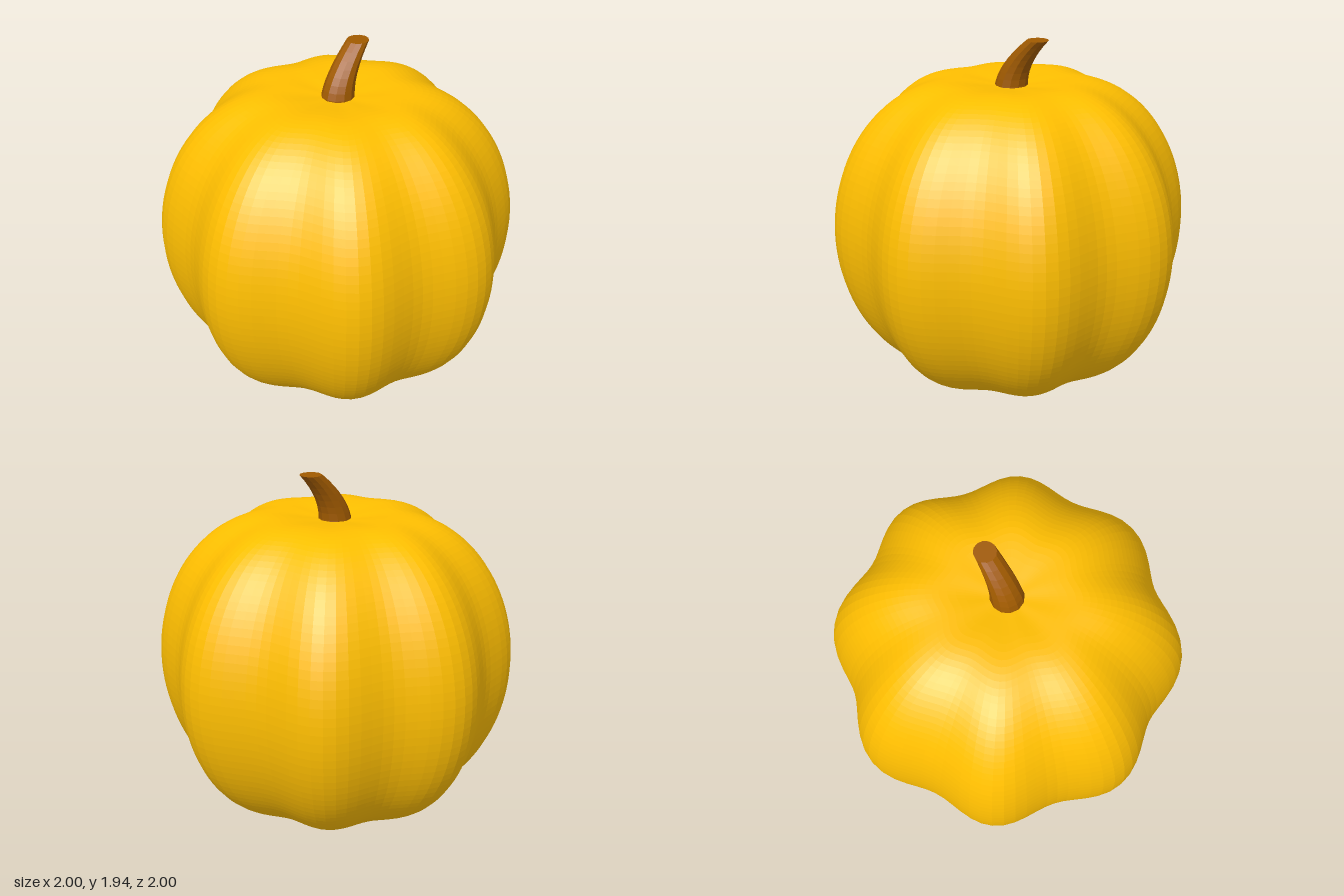
import * as THREE from 'three';

const LOBES = 8;
const HALF_HEIGHT = 0.847;
const CROWN = 0.35; // radius of the highest ring
const DIMPLE = 0.028; // depth of the hollow at the crown and the base

// Ribbed body: a lathed profile whose radius swells and shrinks around the axis
function makeBody() {
  const upper = [];
  // rounded flank, from the equator up to the crown ring
  for (let i = 0; i <= 28; i++) {
    const a = (i / 28) * Math.PI / 2;
    upper.push([CROWN + (1 - CROWN) * Math.cos(a), HALF_HEIGHT * Math.sin(a)]);
  }
  // shallow hollow, from the crown ring in to the axis
  for (let i = 1; i <= 8; i++) {
    const t = i / 8;
    upper.push([CROWN * (1 - t), HALF_HEIGHT - DIMPLE * t * t * (3 - 2 * t)]);
  }
  const profile = [
    ...upper.slice(1).reverse().map(([r, h]) => new THREE.Vector2(r, HALF_HEIGHT - h)),
    ...upper.map(([r, h]) => new THREE.Vector2(r, HALF_HEIGHT + h)),
  ];

  const geometry = new THREE.LatheGeometry(profile, 96);
  const pos = geometry.attributes.position;
  for (let i = 0; i < pos.count; i++) {
    const x = pos.getX(i), z = pos.getZ(i);
    const swell = 0.954 + 0.046 * Math.cos(LOBES * Math.atan2(x, z));
    pos.setX(i, x * swell);
    pos.setZ(i, z * swell);
  }
  geometry.computeVertexNormals();
  const material = new THREE.MeshStandardMaterial({ color: 0xffbf00, flatShading: true });
  const mesh = new THREE.Mesh(geometry, material);
  mesh.name = 'body';
  return mesh;
}

// Tapered stem with level rings that lean further to the side as they rise
function makeStem() {
  const bottom = 1.64, top = 1.936;
  const geometry = new THREE.CylinderGeometry(0.06, 0.094, top - bottom, 12, 8);
  geometry.translate(0, (top + bottom) / 2, 0);
  const pos = geometry.attributes.position;
  for (let i = 0; i < pos.count; i++) {
    const t = Math.max(0, (pos.getY(i) - 1.66) / (top - 1.66));
    pos.setX(i, pos.getX(i) + 0.17 * Math.pow(t, 1.8));
  }
  geometry.computeVertexNormals();
  const material = new THREE.MeshStandardMaterial({ color: 0xa05a00, flatShading: true });
  const mesh = new THREE.Mesh(geometry, material);
  mesh.name = 'stem';
  return mesh;
}

export function createModel() {
  const model = new THREE.Group();
  model.name = 'pumpkin';
  model.add(makeBody(), makeStem());
  return model;
}
